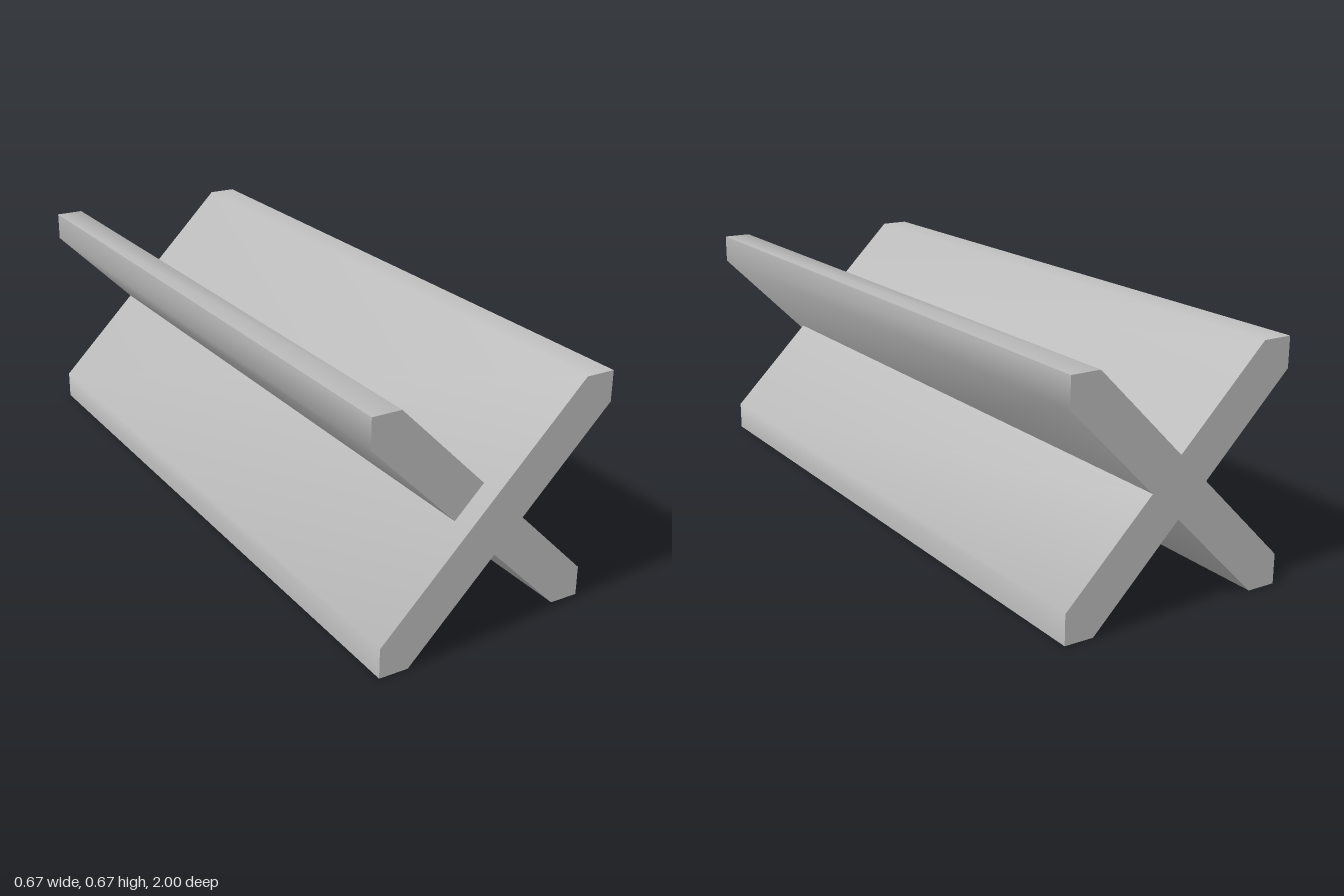
import * as THREE from 'three';
import { toCreasedNormals } from 'three/addons/utils/BufferGeometryUtils.js';

const H = 1 / 3; // half of the cross width and height
const C = 1 / 12; // corner cut, also half the bar thickness measured along x

// Prism along z from an outline centred on the crossing point
function prism(name, points, zBack, zFront, material) {
  const shape = new THREE.Shape(points.map(([x, y]) => new THREE.Vector2(x, y)));
  const solid = new THREE.ExtrudeGeometry(shape, { depth: zFront - zBack, bevelEnabled: false });
  solid.translate(0, H, zBack);
  // Soft shading over the 45 degree corners, sharp at right angles
  const mesh = new THREE.Mesh(toCreasedNormals(solid, 1), material);
  mesh.name = name;
  return mesh;
}

export function createModel() {
  const group = new THREE.Group();
  group.name = 'crossedBars';
  const grey = new THREE.MeshStandardMaterial({ color: 0xbcbcbc });
  grey.name = 'grey';

  // Full-length diagonal slab with pointed, square-cut edges
  const slab = [[-H, -H], [C - H, -H], [H, H - C], [H, H], [H - C, H], [-H, C - H]];
  group.add(prism('longSlab', slab, -1, 1, grey));

  // Two half slabs meeting it at right angles, slightly shorter at the front
  const arm = [[-C, 0], [0, C], [C - H, H], [-H, H], [-H, H - C]];
  group.add(prism('upperArm', arm, -1, 0.94, grey));
  group.add(prism('lowerArm', arm.map(([x, y]) => [-x, -y]), -1, 0.94, grey));

  return group;
}
